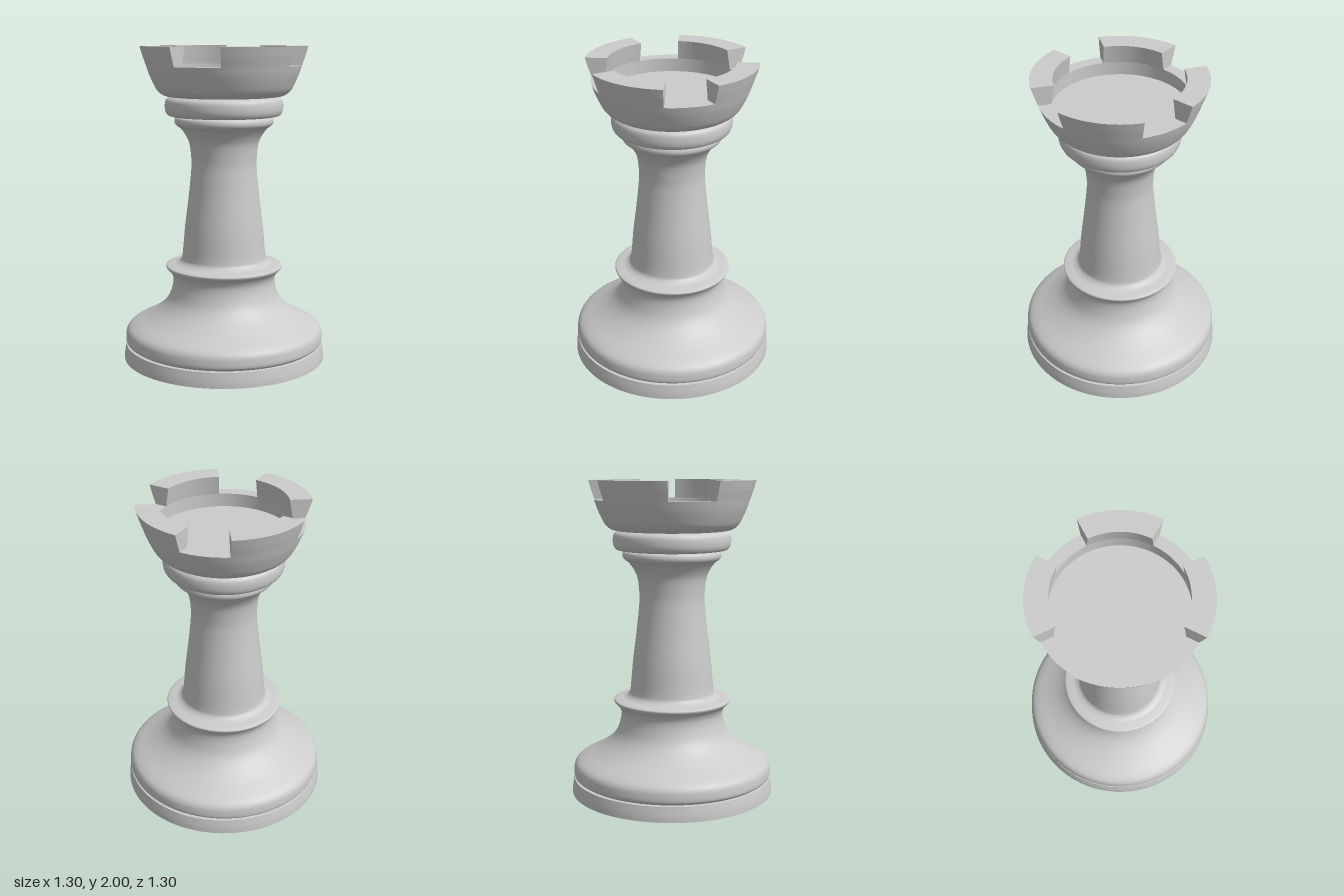
import * as THREE from 'three';
import { mergeGeometries } from 'three/addons/utils/BufferGeometryUtils.js';

const SEGMENTS = 96;
const DEG = Math.PI / 180;
const material = new THREE.MeshStandardMaterial({ color: 0xcccccc, side: THREE.DoubleSide });

const toVectors = (pts) => pts.map(([r, y]) => new THREE.Vector2(r, y));

// Turned section with a smooth spline profile, points are [radius, height]
function turned(name, pts, steps = 6) {
  const curve = new THREE.SplineCurve(toVectors(pts));
  const profile = curve.getPoints((pts.length - 1) * steps);
  const mesh = new THREE.Mesh(new THREE.LatheGeometry(profile, SEGMENTS), material);
  mesh.name = name;
  return mesh;
}

// Turned section with straight, sharp-edged facets between profile points
function facetedLathe(pts, start = 0, length = Math.PI * 2) {
  const segments = Math.ceil(SEGMENTS * length / (Math.PI * 2));
  const v = toVectors(pts);
  return v.slice(1).map((p, i) => new THREE.LatheGeometry([v[i], p], segments, start, length));
}

export function createModel() {
  const model = new THREE.Group();
  model.name = 'chessRook';

  // Hollow base, collar and shaft
  model.add(
    turned('foot', [[0.65, 0], [0.647, 0.04], [0.637, 0.095]]),
    turned('footLedge', [[0.637, 0.095], [0.615, 0.097]], 1),
    turned('baseBell', [
      [0.615, 0.097], [0.636, 0.115], [0.638, 0.15], [0.629, 0.19], [0.595, 0.222],
      [0.495, 0.275], [0.415, 0.33], [0.362, 0.39], [0.335, 0.46], [0.328, 0.52],
      [0.342, 0.56], [0.36, 0.578],
    ]),
    turned('collar', [
      [0.36, 0.578], [0.372, 0.592], [0.372, 0.606], [0.35, 0.613], [0.31, 0.62],
    ]),
    turned('shaft', [
      [0.31, 0.62], [0.28, 0.638], [0.267, 0.68], [0.25, 0.86], [0.225, 1.06],
      [0.208, 1.23], [0.209, 1.31], [0.219, 1.39], [0.24, 1.44], [0.272, 1.485],
      [0.292, 1.5],
    ]),
    // Neck rings
    turned('lowerNeckRing', [
      [0.292, 1.5], [0.308, 1.515], [0.313, 1.535], [0.305, 1.556], [0.28, 1.564],
    ]),
    turned('upperNeckRing', [
      [0.28, 1.564], [0.345, 1.568], [0.367, 1.59], [0.373, 1.628], [0.367, 1.665],
      [0.345, 1.684], [0.325, 1.688],
    ]),
    // Cup up to the notch level
    turned('cup', [
      [0.325, 1.688], [0.365, 1.691], [0.395, 1.704], [0.422, 1.73], [0.446, 1.775],
      [0.47, 1.83], [0.487, 1.88],
    ]),
  );

  // Notch floor, inner wall and flat floor of the cup
  const inside = new THREE.Mesh(
    mergeGeometries(facetedLathe([[0.487, 1.88], [0.41, 1.88], [0.41, 1.795], [0, 1.795]])),
    material,
  );
  inside.name = 'cupInside';
  model.add(inside);

  // Four battlements with 35 degree gaps between them
  const section = [[0.487, 1.88], [0.508, 1.94], [0.526, 2], [0.39, 2], [0.41, 1.88]];
  const start = 35 * DEG, span = 55 * DEG;
  const endCap = (angle) =>
    new THREE.ShapeGeometry(new THREE.Shape(toVectors(section))).rotateY(angle - Math.PI / 2);
  const flipped = endCap(start);
  flipped.index.array.reverse();
  flipped.attributes.normal.array.forEach((n, i, a) => { a[i] = -n; });
  const battlement = mergeGeometries([
    ...facetedLathe(section, start, span), flipped, endCap(start + span),
  ]);
  for (let i = 0; i < 4; i++) {
    const mesh = new THREE.Mesh(battlement, material);
    mesh.name = `battlement${i + 1}`;
    mesh.rotation.y = i * Math.PI / 2;
    model.add(mesh);
  }

  return model;
}
